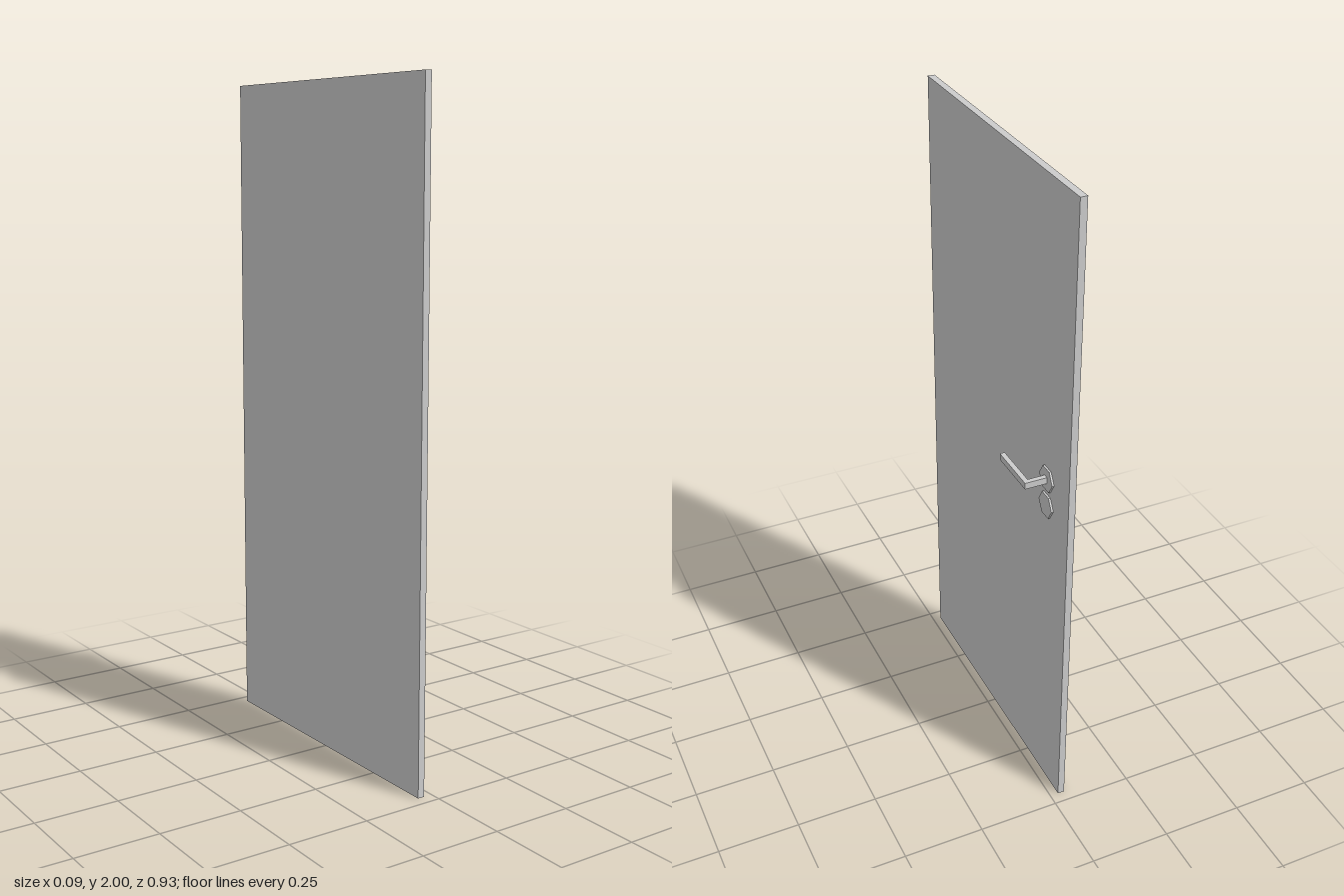
import * as THREE from 'three';

const material = new THREE.MeshStandardMaterial({ color: 0xcccccc, flatShading: true });

export function createModel() {
  const group = new THREE.Group();
  group.name = 'door';

  const add = (name, geometry, x, y, z) => {
    const mesh = new THREE.Mesh(geometry, material);
    mesh.name = name;
    mesh.position.set(x, y, z);
    group.add(mesh);
  };

  const latchZ = -0.338;
  const handleY = 1.112;

  // Plain door slab
  add('doorLeaf', new THREE.BoxGeometry(0.021, 2, 0.932), -0.0367, 1, 0);

  // Hexagonal plates behind the handle and over the keyhole, corners along z
  const plate = new THREE.CylinderGeometry(0.04, 0.04, 0.006, 6).rotateZ(-Math.PI / 2);
  add('handleRosette', plate, -0.0232, handleY, latchZ);
  add('keyholeRosette', plate, -0.0232, 1.024, latchZ);

  // L-shaped lever handle, extruded upwards from its plan outline (x, -z)
  const plan = new THREE.Shape([
    [-0.022, 0.331], [0.032, 0.331], [0.032, 0.183],
    [0.047, 0.183], [0.047, 0.346], [-0.022, 0.346],
  ].map(([x, y]) => new THREE.Vector2(x, y)));
  const lever = new THREE.ExtrudeGeometry(plan, { depth: 0.02, bevelEnabled: false });
  lever.rotateX(-Math.PI / 2).translate(0, -0.01, 0);
  add('leverHandle', lever, 0, handleY, 0);

  return group;
}
